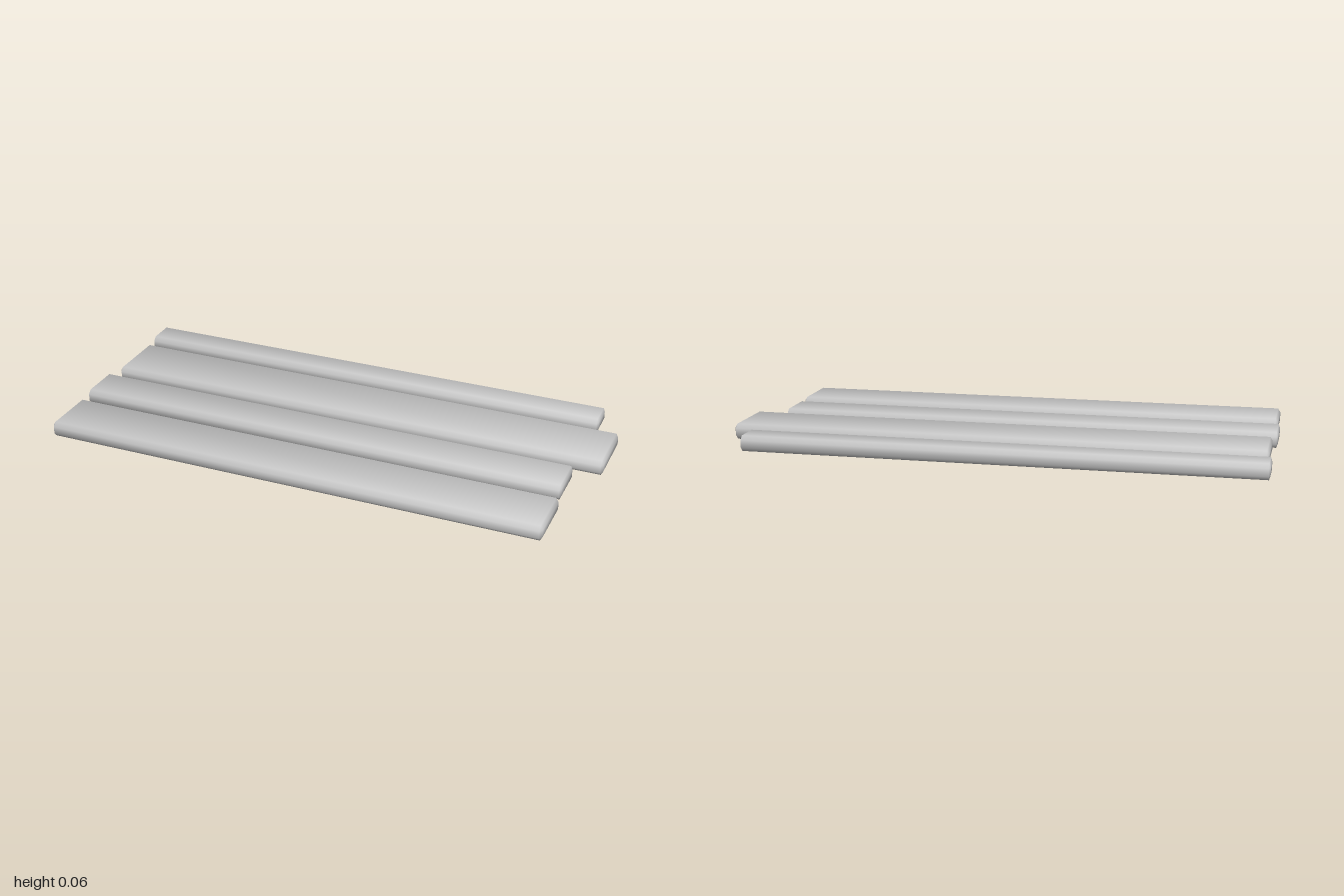
import * as THREE from 'three';
import { ConvexGeometry } from 'three/addons/geometries/ConvexGeometry.js';

const HEIGHT = 0.058;

// Box with chamfered edges whose normals blend softly over the chamfers
function chamferedBox(size, bevel) {
  const half = size.clone().multiplyScalar(0.5);
  const points = [];
  for (const sx of [-1, 1]) for (const sy of [-1, 1]) for (const sz of [-1, 1]) {
    const sign = new THREE.Vector3(sx, sy, sz);
    for (const axis of ['x', 'y', 'z']) {
      const p = half.clone().sub(bevel);
      p[axis] = half[axis];
      points.push(p.multiply(sign));
    }
  }
  const geometry = new ConvexGeometry(points);
  const pos = geometry.attributes.position;
  const normal = geometry.attributes.normal;
  const p = new THREE.Vector3(), n = new THREE.Vector3();
  for (let i = 0; i < pos.count; i++) {
    p.fromBufferAttribute(pos, i);
    // Each corner leans mostly towards the flat face it belongs to
    for (const axis of ['x', 'y', 'z']) {
      const onFace = Math.abs(Math.abs(p[axis]) - half[axis]) < 1e-5;
      n[axis] = Math.sign(p[axis]) * (onFace ? 2.6 : 1);
    }
    n.normalize();
    normal.setXYZ(i, n.x, n.y, n.z);
  }
  return geometry;
}

export function createModel() {
  const group = new THREE.Group();
  group.name = 'planks';
  const material = new THREE.MeshStandardMaterial({ color: 0xcccccc });

  // Loose boards laid side by side, from back to front
  const boards = [
    { name: 'backPlank', x: [-1, 0.905], z: [-0.465, -0.342], endBevel: 0.005 },
    { name: 'widePlank', x: [-0.985, 1], z: [-0.286, -0.038], endBevel: 0.008 },
    { name: 'narrowPlank', x: [-1, 0.905], z: [0.011, 0.184], endBevel: 0.005 },
    { name: 'frontPlank', x: [-0.988, 0.918], z: [0.243, 0.465], endBevel: 0.009 },
  ];
  for (const { name, x, z, endBevel } of boards) {
    const size = new THREE.Vector3(x[1] - x[0], HEIGHT, z[1] - z[0]);
    const bevel = new THREE.Vector3(endBevel, 0.015, 0.014);
    const plank = new THREE.Mesh(chamferedBox(size, bevel), material);
    plank.name = name;
    plank.position.set((x[0] + x[1]) / 2, HEIGHT / 2, (z[0] + z[1]) / 2);
    group.add(plank);
  }
  return group;
}
